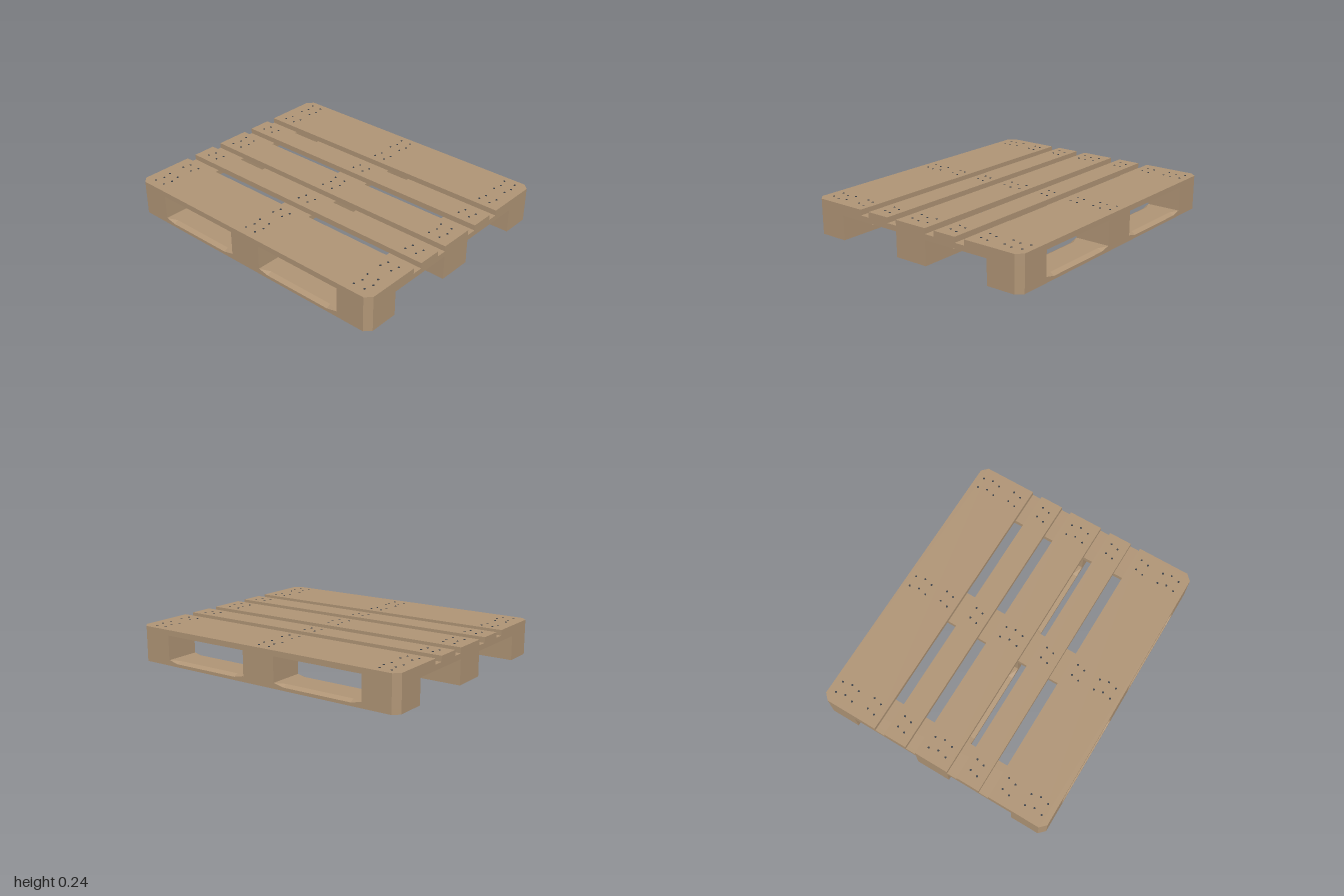
import * as THREE from 'three';

const X = 1, Z = 0.833, CUT = 0.04;      // half length, half width, corner cut
const T = 0.037, H = 0.24;               // board thickness, total height
const W = 0.12;                          // half width of blocks and wide boards

const wood = new THREE.MeshStandardMaterial({ color: 0xb09576 });
wood.name = 'wood';
const steel = new THREE.MeshStandardMaterial({ color: 0x3c4148 });
steel.name = 'nail steel';

// Flat piece of timber; corners that fall on the pallet's corners are cut off
function timber(name, x0, x1, z0, z1, y, h) {
  const pts = [];
  for (const [x, z, alongXFirst] of [[x0, z1, false], [x1, z1, true], [x1, z0, false], [x0, z0, true]]) {
    if (Math.abs(x) >= X && Math.abs(z) >= Z) {
      const a = [x - Math.sign(x) * CUT, z], b = [x, z - Math.sign(z) * CUT];
      pts.push(...(alongXFirst ? [a, b] : [b, a]));
    } else pts.push([x, z]);
  }
  const shape = new THREE.Shape(pts.map(([x, z]) => new THREE.Vector2(x, -z)));
  const geo = new THREE.ExtrudeGeometry(shape, { depth: h, bevelEnabled: false });
  geo.rotateX(-Math.PI / 2);
  const mesh = new THREE.Mesh(geo, wood);
  mesh.name = name;
  mesh.position.y = y;
  return mesh;
}

// Bottom board lofted along x, its upper edges bevelled between the blocks
function bottomBoard(name, z0, z1) {
  const drop = 0.016, inset = 0.03;
  const half = [[0.125, 0], [0.195, 1], [0.685, 1], [0.755, 0], [0.96, 0], [1, 0]];
  const stations = [...half.map(([x, c]) => [-x, c]).reverse(), ...half];
  const pos = [], idx = [], n = 6;
  for (const [x, c] of stations) {
    const cut = Math.abs(x) === X ? CUT : 0;
    const f = z1 === Z ? z1 - cut : z1, b = z0 === -Z ? z0 + cut : z0;
    const top = T - c * drop;
    for (const [z, y] of [[f, 0], [f, top], [f - c * inset, T], [b + c * inset, T], [b, top], [b, 0]]) pos.push(x, y, z);
  }
  for (let s = 0; s < stations.length - 1; s++) {
    for (let i = 0; i < n; i++) {
      const a = s * n + i, d = s * n + (i + 1) % n;
      idx.push(a, a + n, d + n, a, d + n, d);
    }
  }
  const last = (stations.length - 1) * n;
  for (let i = 1; i < n - 1; i++) idx.push(0, i, i + 1, last, last + i + 1, last + i);
  let geo = new THREE.BufferGeometry();
  geo.setAttribute('position', new THREE.Float32BufferAttribute(pos, 3));
  geo.setIndex(idx);
  geo = geo.toNonIndexed();
  geo.computeVertexNormals();
  const mesh = new THREE.Mesh(geo, wood);
  mesh.name = name;
  return mesh;
}

export function createModel() {
  const pallet = new THREE.Group();
  pallet.name = 'pallet';

  const xSpans = [[-X, -0.76], [-W, W], [0.76, X]];
  const zSpans = [[-Z, -0.594], [-W, W], [0.594, Z]];

  // Bottom boards and the nine blocks
  zSpans.forEach(([z0, z1]) => {
    pallet.add(bottomBoard('bottomBoard', z0, z1));
    xSpans.forEach(([x0, x1]) => pallet.add(timber('block', x0, x1, z0, z1, T, H - 3 * T)));
  });

  // Cross boards on the blocks
  xSpans.forEach(([x0, x1]) => pallet.add(timber('stringerBoard', x0, x1, -Z, Z, H - 2 * T, T)));

  // Top deck
  for (const [z0, z1] of [[-Z, -0.427], [-0.356, -0.192], [-W, W], [0.192, 0.356], [0.427, Z]]) {
    pallet.add(timber('deckBoard', -X, X, z0, z1, H - T, T));
  }

  // Nail heads, in staggered pairs over each block column
  const nailGeo = new THREE.CylinderGeometry(0.007, 0.007, 0.004, 8);
  const nails = new THREE.Group();
  nails.name = 'nails';
  const addRow = (z, y, shift) => {
    for (const cx of [-0.877, 0, 0.882]) {
      for (const side of [-1, 1]) {
        const nail = new THREE.Mesh(nailGeo, steel);
        nail.name = 'nail';
        nail.position.set(cx + side * 0.04 + shift * 0.007, y, z);
        nails.add(nail);
      }
    }
  };
  const topRows = [[-0.78, -1], [-0.715, 1], [-0.655, -1], [-0.54, 1], [-0.483, -1], [-0.305, 1], [-0.25, -1],
    [-0.063, -1], [0, 1], [0.063, -1], [0.243, 1], [0.298, -1], [0.478, 1], [0.533, -1],
    [0.65, -1], [0.71, 1], [0.77, -1]];
  topRows.forEach(([z, s]) => addRow(z, H, s));
  for (const c of [-0.715, 0, 0.715]) {
    [-0.06, 0, 0.06].forEach((dz, i) => addRow(c + dz, 0.0005, i === 1 ? 1 : -1));
  }
  pallet.add(nails);
  return pallet;
}
